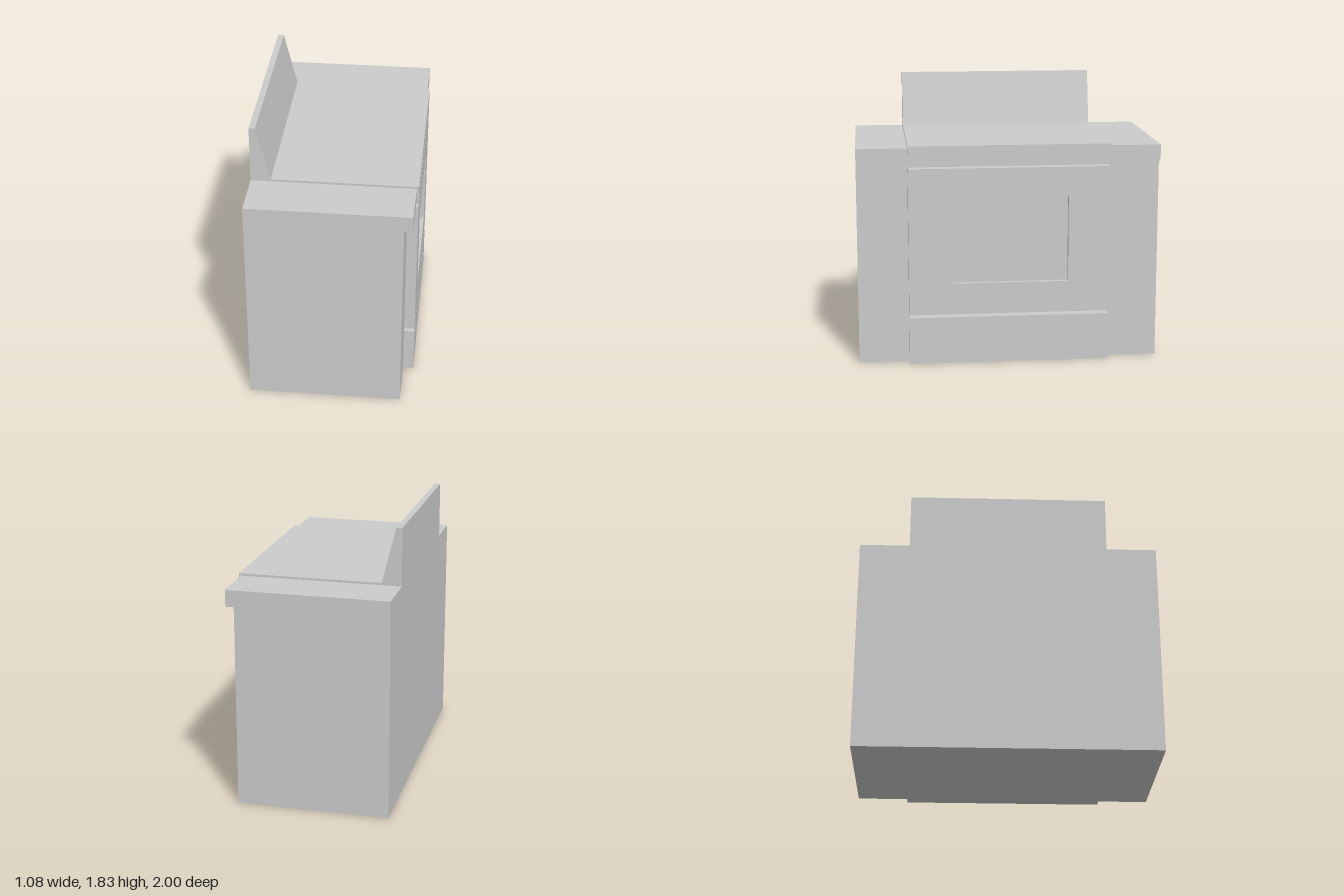
import * as THREE from 'three';

export function createModel() {
  const model = new THREE.Group();
  const material = new THREE.MeshStandardMaterial({ color: 0xcccccc, flatShading: true });
  const back = -0.54, bodyFront = 0.465, doorFront = 0.535, half = 0.665;

  function add(name, geometry) {
    const mesh = new THREE.Mesh(geometry, material);
    mesh.name = name;
    model.add(mesh);
    return mesh;
  }

  // Box given by its limits on each axis
  function block(name, x0, x1, y0, y1, z0, z1) {
    add(name, new THREE.BoxGeometry(x1 - x0, y1 - y0, z1 - z0))
      .position.set((x0 + x1) / 2, (y0 + y1) / 2, (z0 + z1) / 2);
  }

  function rectangle(ShapeType, w, y0, y1) {
    return new ShapeType([[-w, y0], [w, y0], [w, y1], [-w, y1]].map(p => new THREE.Vector2(...p)));
  }

  // Cabinet body, with a worktop on each side of the cooktop
  block('cabinetBody', back, bodyFront, 0, 1.34, -1, 1);
  block('leftWorktop', back, 0.52, 1.34, 1.45, half, 1);
  block('rightWorktop', back, 0.52, 1.34, 1.45, -1, -half);

  // Raised cooktop and bottom drawer
  block('cooktop', back, doorFront, 1.34, 1.465, -half, half);
  block('drawer', bodyFront, doorFront, 0, 0.315, -half, half);

  // Oven door: a frame with a recessed window, facing +x
  const frame = rectangle(THREE.Shape, half, 0.34, 1.315);
  frame.holes.push(rectangle(THREE.Path, 0.39, 0.545, 1.115));
  const door = new THREE.ExtrudeGeometry(frame, { depth: doorFront - bodyFront, bevelEnabled: false });
  door.rotateY(Math.PI / 2);
  add('ovenDoor', door).position.x = bodyFront;
  block('ovenWindow', bodyFront, 0.503, 0.545, 1.115, -0.39, 0.39);

  // Sloping backsplash
  const profile = new THREE.Shape([[back, 1.465], [-0.41, 1.465], [-0.5, 1.83], [back, 1.83]]
    .map(p => new THREE.Vector2(...p)));
  add('backsplash', new THREE.ExtrudeGeometry(profile, { depth: 2 * half, bevelEnabled: false }))
    .position.z = -half;

  return model;
}
